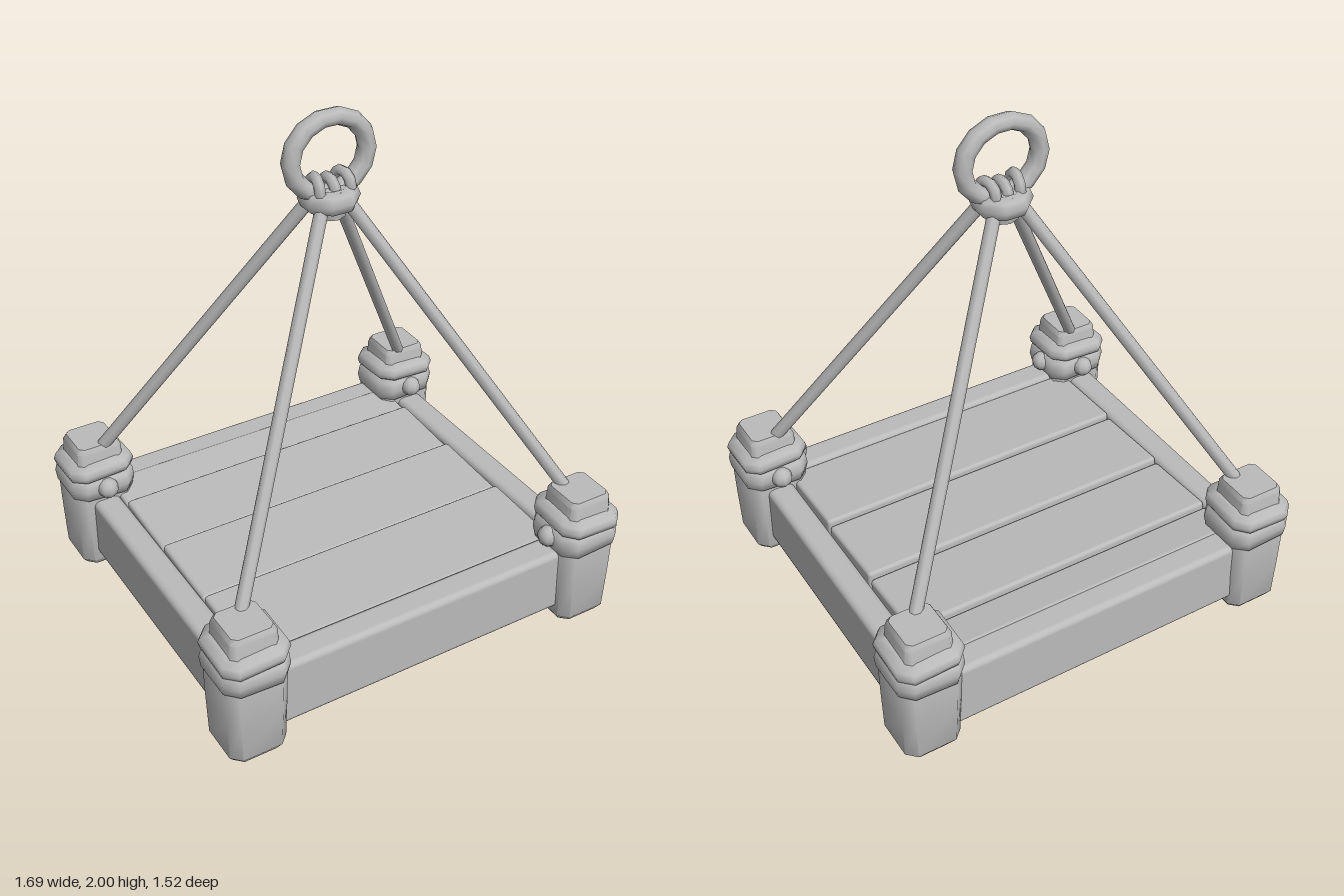
import * as THREE from 'three';
import { toCreasedNormals, mergeVertices } from 'three/addons/utils/BufferGeometryUtils.js';
import { RoundedBoxGeometry } from 'three/addons/geometries/RoundedBoxGeometry.js';

const gray = new THREE.MeshStandardMaterial({ color: 0xbababa });
gray.name = 'plainGray';

function add(parent, name, geometry, x = 0, y = 0, z = 0) {
  const mesh = new THREE.Mesh(geometry, gray);
  mesh.name = name;
  mesh.position.set(x, y, z);
  parent.add(mesh);
  return mesh;
}

// Stack of chamfered squares: each section is [y, half width, chamfer]
function loft(sections, crease = 0.9) {
  const pos = [], index = [], n = 8;
  for (const [y, h, c] of sections) {
    const k = h - c;
    const ring = [[h, k], [k, h], [-k, h], [-h, k], [-h, -k], [-k, -h], [k, -h], [h, -k]];
    for (const [x, z] of ring) pos.push(x, y, z);
  }
  for (let s = 0; s < sections.length - 1; s++) {
    for (let i = 0; i < n; i++) {
      const a = s * n + i, b = s * n + (i + 1) % n;
      index.push(a, a + n, b, b, a + n, b + n);
    }
  }
  const top = (sections.length - 1) * n;
  for (let i = 1; i < n - 1; i++) {
    index.push(0, i, i + 1);
    index.push(top, top + i + 1, top + i);
  }
  const g = new THREE.BufferGeometry();
  g.setAttribute('position', new THREE.Float32BufferAttribute(pos, 3));
  g.setIndex(index);
  return toCreasedNormals(g, crease);
}

// Straight round bar between two points
function bar(a, b, radius) {
  return new THREE.TubeGeometry(new THREE.LineCurve3(a, b), 1, radius, 8, false);
}

function createPost(sx, sz) {
  const post = new THREE.Group();
  post.name = 'cornerPost';
  post.position.set(sx * 0.712, 0, sz * 0.628);

  add(post, 'postBody', loft([
    [0, 0.092, 0.03], [0.03, 0.112, 0.035], [0.2, 0.117, 0.035],
    [0.36, 0.12, 0.035], [0.44, 0.095, 0.02], [0.53, 0.09, 0.018], [0.55, 0.08, 0.018],
  ]));

  // Two rope turns, leaning opposite ways
  const lower = add(post, 'lowerRopeWrap', loft([
    [-0.055, 0.105, 0.04], [-0.04, 0.126, 0.045], [0, 0.132, 0.045], [0.04, 0.126, 0.045], [0.055, 0.1, 0.04],
  ], 1.2), 0, 0.375, 0);
  lower.rotation.z = sx * 0.05;
  const upper = add(post, 'upperRopeWrap', loft([
    [-0.04, 0.105, 0.04], [-0.022, 0.128, 0.045], [0, 0.133, 0.045], [0.022, 0.126, 0.045], [0.038, 0.095, 0.04],
  ], 1.2), 0, 0.447, 0);
  upper.rotation.set(sz * 0.05, 0, -sx * 0.05);

  // Rope ends tied on the inner sides
  const knob = new THREE.SphereGeometry(0.042, 8, 6);
  add(post, 'ropeEndKnot', knob, 0, 0.38, -sz * 0.132);
  if (sz > 0) add(post, 'ropeEndKnot', knob, -sx * 0.127, 0.375, 0);
  return post;
}

export function createModel() {
  const model = new THREE.Group();
  model.name = 'hangingPlatform';

  for (const sx of [-1, 1]) {
    for (const sz of [-1, 1]) {
      model.add(createPost(sx, sz));
      // Hanging rope from post to knot
      add(model, 'hangingRope', bar(
        new THREE.Vector3(sx * 0.715, 0.49, sz * 0.59),
        new THREE.Vector3(sx * 0.045, 1.67, sz * 0.035), 0.025));
    }
    add(model, 'sideRail', new RoundedBoxGeometry(0.11, 0.26, 1.2, 2, 0.025), sx * 0.715, 0.19, 0);
  }
  add(model, 'frontRail', new RoundedBoxGeometry(1.36, 0.27, 0.12, 2, 0.025), 0, 0.193, 0.63);
  add(model, 'backRail', new RoundedBoxGeometry(1.36, 0.27, 0.12, 2, 0.025), 0, 0.193, -0.65);

  // Deck planks, each dipping a little towards one edge
  const edges = [-0.62, -0.45, -0.13, 0.21, 0.575];
  const tilts = [0.12, 0.06, 0.05, 0.04];
  tilts.forEach((tilt, i) => {
    const width = edges[i + 1] - edges[i] - 0.006;
    const plank = add(model, 'deckPlank', new RoundedBoxGeometry(1.31, 0.1, width, 2, 0.015),
      -0.005, 0.272, (edges[i] + edges[i + 1]) / 2);
    plank.rotation.x = tilt;
  });

  // Half panel closing one diagonal of the underside
  const panel = new THREE.BufferGeometry();
  panel.setAttribute('position', new THREE.Float32BufferAttribute(
    [0.68, 0.08, 0.59, -0.68, 0.08, 0.59, 0.68, 0.08, -0.61], 3));
  panel.computeVertexNormals();
  add(model, 'undersidePanel', panel);

  // Hanging ring
  const ring = add(model, 'hangingRing', new THREE.TorusGeometry(0.152, 0.035, 8, 14), 0, 1.828, 0);
  ring.scale.y = 0.92;

  // Knot collar with rope loops over the ring
  const collar = add(model, 'knotCollar', new THREE.TorusGeometry(0.068, 0.044, 8, 8), 0, 1.675, 0);
  collar.rotation.set(Math.PI / 2, 0, Math.PI / 8);
  add(model, 'knotCore', mergeVertices(new THREE.CylinderGeometry(0.075, 0.06, 0.11, 8)), 0, 1.66, 0);
  for (const side of [-1, 0, 1]) {
    const loop = add(model, 'knotLoop', new THREE.TorusGeometry(0.046, 0.02, 6, 10),
      side * 0.055, 1.7 + Math.abs(side) * 0.012, 0);
    loop.rotation.set(0, Math.PI / 2 + side * 0.15, 0);
  }
  return model;
}
